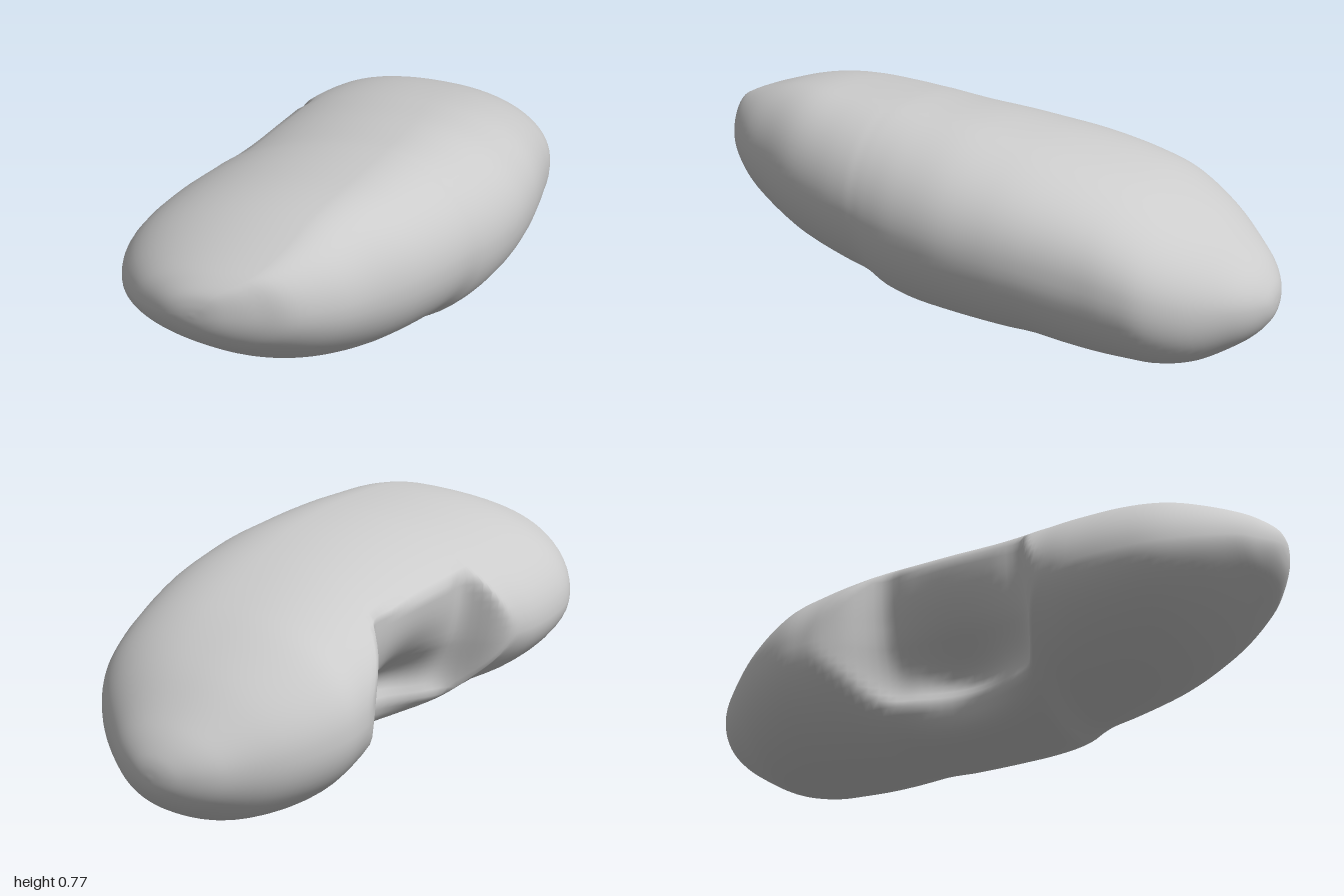
import * as THREE from 'three';
import { mergeVertices } from 'three/addons/utils/BufferGeometryUtils.js';

// Body outline stations: z, left x, right x, bottom y, top y
const STATIONS = [
  [1, -0.11, -0.11, 0.54, 0.54],
  [0.996, -0.165, -0.055, 0.505, 0.575],
  [0.982, -0.22, 0.0, 0.465, 0.61],
  [0.95, -0.285, 0.08, 0.42, 0.642],
  [0.9, -0.365, 0.175, 0.373, 0.672],
  [0.8, -0.46, 0.27, 0.29, 0.712],
  [0.68, -0.525, 0.34, 0.217, 0.748],
  [0.55, -0.545, 0.405, 0.17, 0.765],
  [0.4, -0.54, 0.455, 0.137, 0.763],
  [0.3, -0.52, 0.48, 0.12, 0.76],
  [0.25, -0.475, 0.49, 0.1, 0.758],
  [0.2, -0.37, 0.502, 0.075, 0.755],
  [0.1, -0.365, 0.522, 0.06, 0.745],
  [-0.05, -0.36, 0.537, 0.052, 0.73],
  [-0.2, -0.345, 0.53, 0.042, 0.705],
  [-0.3, -0.335, 0.518, 0.038, 0.685],
  [-0.4, -0.415, 0.5, 0.02, 0.66],
  [-0.5, -0.45, 0.48, 0.006, 0.63],
  [-0.6, -0.442, 0.46, 0, 0.592],
  [-0.7, -0.4, 0.425, 0, 0.54],
  [-0.8, -0.33, 0.345, 0.02, 0.473],
  [-0.9, -0.23, 0.225, 0.075, 0.385],
  [-0.95, -0.165, 0.155, 0.115, 0.335],
  [-0.982, -0.1, 0.09, 0.155, 0.29],
  [-0.996, -0.05, 0.045, 0.187, 0.255],
  [-1, 0, 0, 0.22, 0.22],
];
const RINGS = 110, SIDES = 72;

const bell = (v, centre, width) => Math.exp(-(((v - centre) / width) ** 2));
const mix = THREE.MathUtils.lerp;
const rail = (fn) => new THREE.CatmullRomCurve3(
  STATIONS.map((s) => new THREE.Vector3(...fn(s), s[0])), false, 'catmullrom', 0.5);

// Left outline as if the notch were filled, so the upper surface runs straight to its rim
const fullLeft = (z, l) => (z > -0.5 && z < 0.55 ? Math.min(l, -0.495 - 0.09 * z) : l);

// Four rails run end to end; each cross-section joins them with rounded quarters
const rails = {
  left: rail(([z, l, r, b, t]) => [fullLeft(z, l), mix(b, t, 0.45 - 0.1 * z)]),
  right: rail(([z, l, r, b, t]) => [r, mix(b, t, 0.56)]),
  top: rail(([z, l, r, b, t]) => [mix(fullLeft(z, l), r, 0.64 + 0.16 * z), t]),
  bottom: rail(([z, l, r, b, t]) => [mix(fullLeft(z, l), r, 0.5), b]),
  notch: rail(([z, l, r, b, t]) => [l, b]),
};

function bodyGeometry() {
  const pos = [], index = [];
  for (let i = 0; i <= RINGS; i++) {
    const [L, R, T, B, N] = ['left', 'right', 'top', 'bottom', 'notch'].map((k) => rails[k].getPoint(i / RINGS));
    for (let j = 0; j < SIDES; j++) {
      const a = (j / SIDES) * Math.PI * 2, c = Math.cos(a), s = Math.sin(a);
      const side = c >= 0 ? R : L, cap = s >= 0 ? T : B;
      // Fuller shoulders on the upper back
      const power = s > 0 ? 1 - 0.14 * bell(L.z, -0.5, 0.35) : 1;
      const x = mix(cap.x, side.x, Math.abs(c) ** power);
      const y = mix(side.y, cap.y, Math.abs(s) ** power);
      // Notch cut into the inner side, hollowed below its upper rim
      const dent = bell(L.z, -0.06, 0.25) * bell(a, Math.PI * 1.17, 0.55);
      pos.push(Math.max(x, N.x) + 0.22 * dent, y + 0.03 * dent, L.z);
    }
  }
  for (let i = 0; i < RINGS; i++) {
    for (let j = 0; j < SIDES; j++) {
      const a = i * SIDES + j, b = i * SIDES + (j + 1) % SIDES, c = a + SIDES, d = b + SIDES;
      if (i < RINGS - 1) index.push(a, c, d);
      if (i > 0) index.push(a, d, b);
    }
  }
  const g = new THREE.BufferGeometry();
  g.setAttribute('position', new THREE.Float32BufferAttribute(pos, 3));
  g.setIndex(index);
  // Join the end points so the tips shade smoothly
  const merged = mergeVertices(g);
  merged.computeVertexNormals();
  return merged;
}

export function createModel() {
  const group = new THREE.Group();
  group.name = 'kidneyShape';
  const body = new THREE.Mesh(bodyGeometry(), new THREE.MeshStandardMaterial({ color: 0xcccccc }));
  body.name = 'body';
  group.add(body);
  return group;
}
